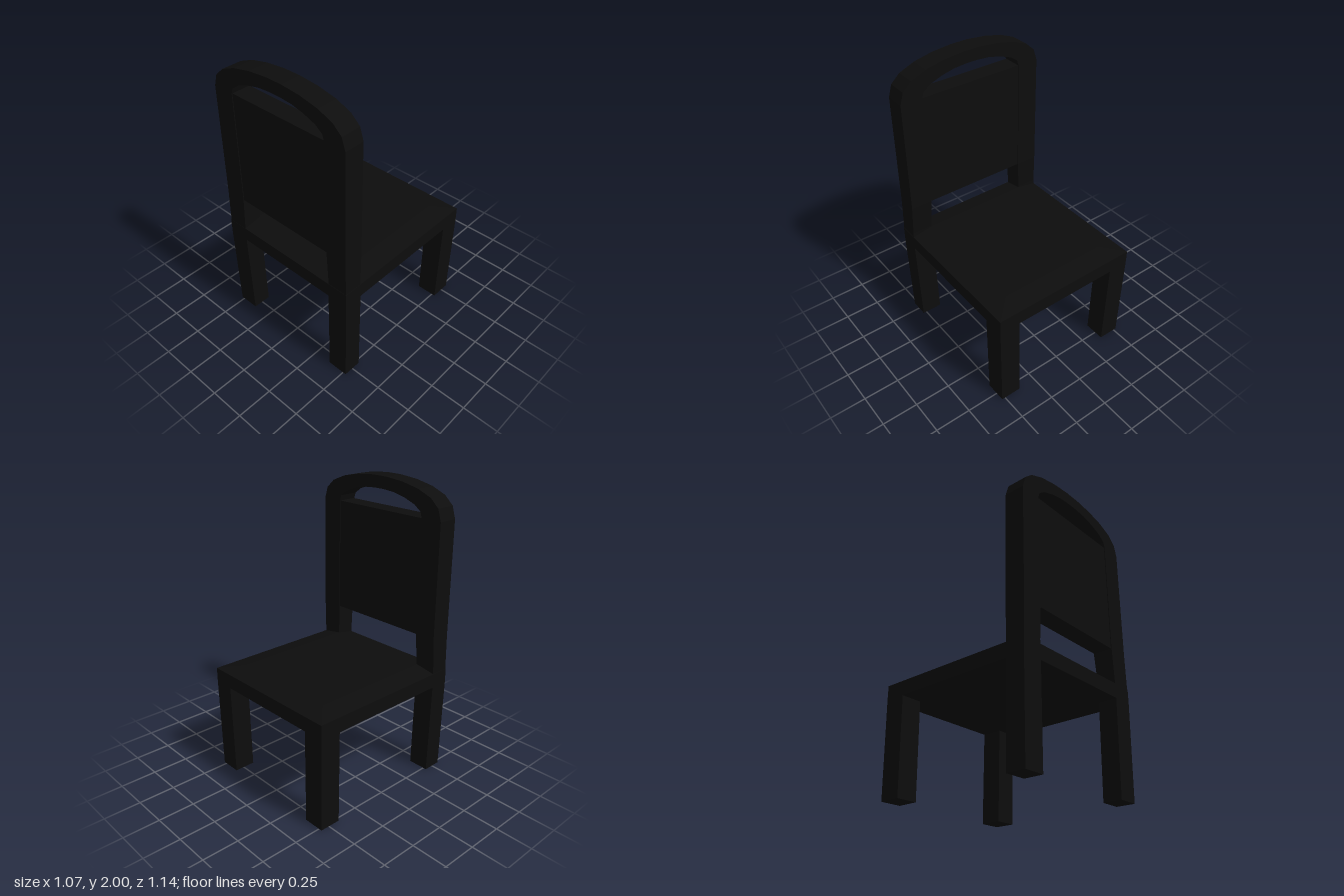
import * as THREE from 'three';

const material = new THREE.MeshStandardMaterial({ color: 0x0d0d0d, flatShading: true });

// Closed box-like loft through rectangles [y, x0, x1, z0, z1], bottom to top
function loft(sections) {
  const pos = [], idx = [];
  for (const [y, x0, x1, z0, z1] of sections) pos.push(x0, y, z1, x1, y, z1, x1, y, z0, x0, y, z0);
  for (let s = 0; s < sections.length - 1; s++) {
    for (let i = 0; i < 4; i++) {
      const a = s * 4 + i, b = s * 4 + (i + 1) % 4;
      idx.push(a, b, b + 4, a, b + 4, a + 4);
    }
  }
  const t = (sections.length - 1) * 4;
  idx.push(0, 2, 1, 0, 3, 2, t, t + 1, t + 2, t, t + 2, t + 3);
  const g = new THREE.BufferGeometry();
  g.setAttribute('position', new THREE.Float32BufferAttribute(pos, 3));
  g.setIndex(idx);
  const flat = g.toNonIndexed();
  flat.computeVertexNormals();
  return flat;
}

export function createModel() {
  const group = new THREE.Group();
  const add = (name, geometry) => {
    const mesh = new THREE.Mesh(geometry, material);
    mesh.name = name;
    group.add(mesh);
    return mesh;
  };

  // Seat slab with softly bevelled top edges
  add('seat', loft([
    [0.65, -0.533, 0.533, -0.567, 0.572],
    [0.75, -0.533, 0.533, -0.567, 0.572],
    [0.775, -0.39, 0.39, -0.43, 0.44],
  ]));

  // Legs and back posts, mirrored left and right
  for (const [side, s] of [['left', 1], ['right', -1]]) {
    const mirrored = (rows) => loft(rows.map(([y, a, b, z0, z1]) =>
      s > 0 ? [y, a, b, z0, z1] : [y, -b, -a, z0, z1]));
    add(side + 'FrontLeg', mirrored([
      [0, 0.377, 0.523, -0.562, -0.416],
      [0.65, 0.385, 0.533, -0.567, -0.42],
    ]));
    add(side + 'BackLeg', mirrored([
      [0, 0.377, 0.523, 0.435, 0.565],
      [0.65, 0.385, 0.533, 0.44, 0.572],
    ]));
    add(side + 'BackPost', mirrored([
      [0.7, 0.388, 0.533, 0.442, 0.572],
      [0.78, 0.385, 0.53, 0.44, 0.57],
      [1.0, 0.373, 0.525, 0.43, 0.57],
      [1.78, 0.373, 0.525, 0.43, 0.57],
    ]));
  }

  // Back panel between the posts
  const panel = add('backPanel', new THREE.BoxGeometry(0.76, 0.785, 0.13));
  panel.position.set(0, 1.3875, 0.5);

  // Arched handle over the panel
  const outer = [[0.525, 1.78], [0.5, 1.86], [0.437, 1.917], [0.33, 1.96], [0.2, 1.987], [0.06, 2]];
  const inner = [[0.373, 1.78], [0.36, 1.82], [0.31, 1.857], [0.22, 1.89], [0.13, 1.91], [0.04, 1.917]];
  const flip = (pts) => pts.map(([x, y]) => [-x, y]).reverse();
  const outline = [...outer, ...flip(outer), ...inner.map(([x, y]) => [-x, y]), ...[...inner].reverse()];
  const shape = new THREE.Shape(outline.map(([x, y]) => new THREE.Vector2(x, y)));
  const arch = add('backArch', new THREE.ExtrudeGeometry(shape, { depth: 0.14, bevelEnabled: false }));
  arch.position.z = 0.43;

  return group;
}
